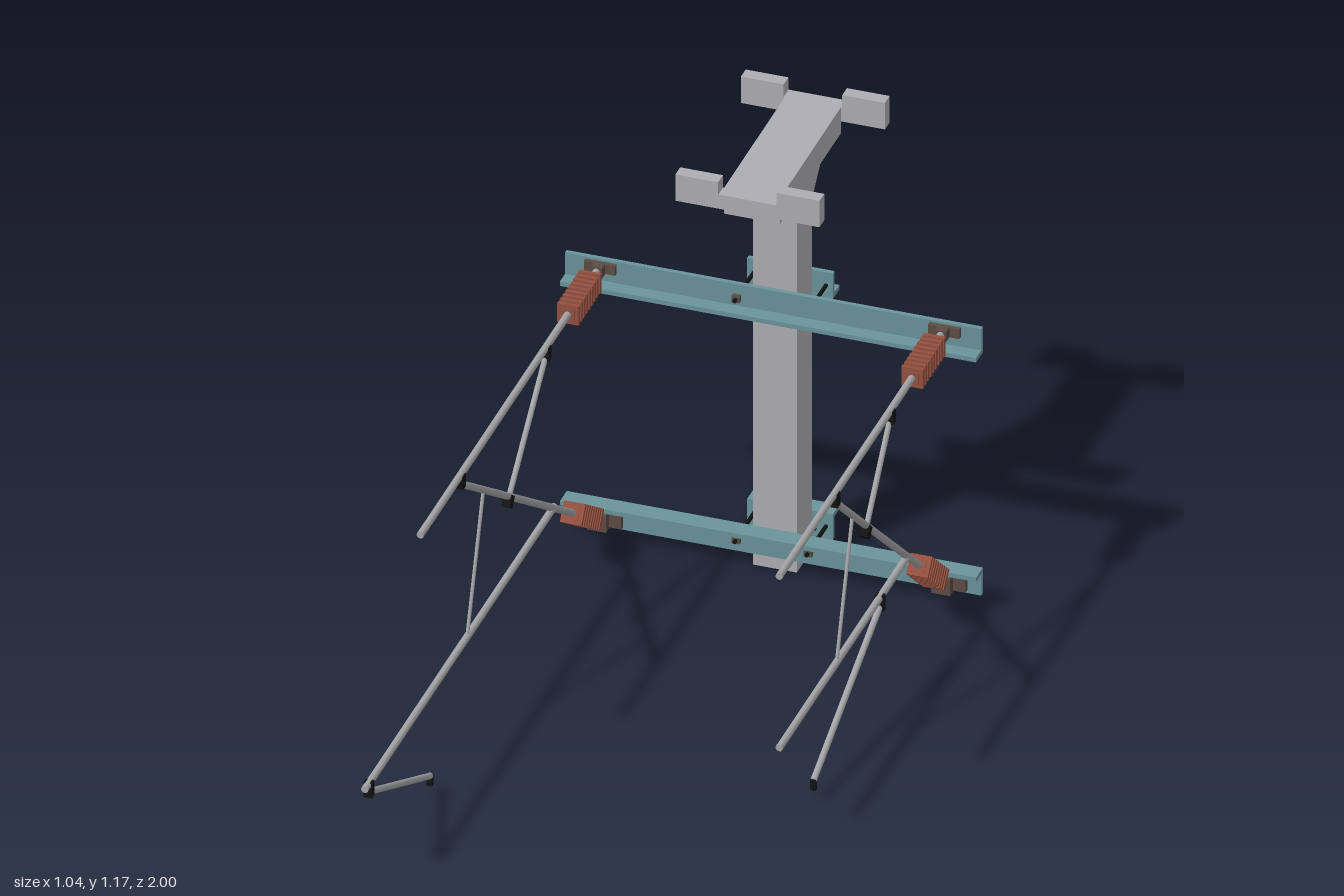
import * as THREE from 'three';

export function createModel() {
  const mat = (name, color) => {
    const m = new THREE.MeshStandardMaterial({ color });
    m.name = name;
    return m;
  };
  const concrete = mat('concreteGrey', 0xaeaeb2);
  const steel = mat('steelGrey', 0xa4a4a6);
  const teal = mat('tealPaint', 0x6a949c);
  const ceramic = mat('redBrownCeramic', 0x94503f);
  const bracketBrown = mat('darkBrown', 0x5c4c44);
  const black = mat('black', 0x121212);

  const model = new THREE.Group();
  model.name = 'cantileverMast';

  const add = (parent, name, geometry, material) => {
    const m = new THREE.Mesh(geometry, material);
    m.name = name;
    parent.add(m);
    return m;
  };
  // Box given by its min/max on each axis
  const box = (parent, name, material, x0, x1, y0, y1, z0, z1) => {
    const m = add(parent, name, new THREE.BoxGeometry(x1 - x0, y1 - y0, z1 - z0), material);
    m.position.set((x0 + x1) / 2, (y0 + y1) / 2, (z0 + z1) / 2);
    return m;
  };
  // Group at a whose local +z runs toward b; points are [z, y] in the plane at x
  const aim = (x, a, b) => {
    const g = new THREE.Group();
    g.position.set(x, a[1], a[0]);
    g.lookAt(x, b[1], b[0]);
    model.add(g);
    return g;
  };
  const tube = (name, x, a, b, r, material = steel) => {
    const len = Math.hypot(b[0] - a[0], b[1] - a[1]);
    const g = aim(x, a, b);
    g.name = name;
    const geo = new THREE.CylinderGeometry(r, r, len, 12).rotateX(Math.PI / 2).translate(0, 0, len / 2);
    add(g, name + 'Pipe', geo, material);
  };
  const lerp = (a, b, t) => [a[0] + (b[0] - a[0]) * t, a[1] + (b[1] - a[1]) * t];
  const along = (a, b, d) => lerp(a, b, d / Math.hypot(b[0] - a[0], b[1] - a[1]));

  // Mast and its head beam
  box(model, 'mast', concrete, -0.055, 0.055, 0, 1.07, -0.803, -0.695);
  box(model, 'headBeam', concrete, -0.07, 0.07, 1.062, 1.134, -0.966, -0.534);

  // U-shaped end plates
  const u = new THREE.Shape([
    [-0.18, 1.095], [0.18, 1.095], [0.18, 1.168], [0.073, 1.168],
    [0.073, 1.134], [-0.073, 1.134], [-0.073, 1.168], [-0.18, 1.168],
  ].map(([x, y]) => new THREE.Vector2(x, y)));
  for (const z of [-1, -0.534]) {
    add(model, 'headEndPlate', new THREE.ExtrudeGeometry(u, { depth: 0.034, bevelEnabled: false }), concrete).position.z = z;
  }

  // Triangular gussets, two in front and two behind the mast
  const tri = new THREE.Shape([
    new THREE.Vector2(0, 0.968), new THREE.Vector2(0.092, 1.064), new THREE.Vector2(0, 1.064),
  ]);
  for (const side of [1, -1]) {
    for (const x of [-0.0365, 0.0365]) {
      const g = new THREE.ExtrudeGeometry(tri, { depth: 0.035, bevelEnabled: false });
      g.translate(0, 0, -0.0175).rotateY(-side * Math.PI / 2);
      add(model, 'headGusset', g, concrete).position.set(x, 0, side > 0 ? -0.695 : -0.803);
    }
  }

  // Angle-section crossarms in front, short clamps behind, joined by bolts
  const levels = [
    { name: 'upper', y0: 0.705, y1: 0.776, f0: 0.705, bolt: 0.74 },
    { name: 'lower', y0: 0.038, y1: 0.109, f0: 0.097, bolt: 0.073 },
  ];
  for (const { name, y0, y1, f0, bolt } of levels) {
    box(model, name + 'Crossarm', teal, -0.52, 0.52, y0, y1, -0.695, -0.683);
    box(model, name + 'CrossarmFlange', teal, -0.52, 0.52, f0, f0 + 0.012, -0.683, -0.646);
    box(model, name + 'RearClamp', teal, -0.107, 0.107, y0, y1, -0.815, -0.803);
    box(model, name + 'RearClampFlange', teal, -0.107, 0.107, f0, f0 + 0.012, -0.85, -0.815);
    for (const x of [-0.09, 0.09]) {
      const short = name === 'upper' && x > 0;
      tube(name + 'ClampBolt', x, [-0.835, bolt], [short ? -0.69 : -0.662, bolt], 0.005, black);
      box(model, name + 'RearNut', bracketBrown, x - 0.01, x + 0.01, bolt - 0.009, bolt + 0.009, -0.826, -0.814);
      if (!short) {
        box(model, name + 'FrontNut', bracketBrown, x - 0.01, x + 0.01, bolt - 0.009, bolt + 0.009, -0.684, -0.671);
      }
    }
  }

  // Ribbed insulator from a toward b, starting d along the line
  const insulator = (name, x, a, b, d) => {
    const g = aim(x, along(a, b, d), b);
    g.name = name;
    box(g, 'insulatorCore', ceramic, -0.016, 0.016, -0.016, 0.016, 0, 0.165);
    for (let i = 0; i < 9; i++) {
      const z = 0.002 + i * 0.0188;
      box(g, 'insulatorRib', ceramic, -0.027, 0.027, -0.026, 0.026, z, z + 0.0105);
    }
  };
  // Black clamp centred on p, turned to face q
  const clamp = (name, x, p, q, w = 0.022, h = 0.036, d = 0.02) => {
    const g = aim(x, p, q);
    g.name = name;
    box(g, 'clampBody', black, -w / 2, w / 2, -h / 2, h / 2, -d / 2, d / 2);
  };

  // One cantilever frame; points are [z, y]
  const topY = 0.76, lowY = 0.285, foot = [-0.665, 0.065];
  const frame = (side, x, s) => {
    const head = [s.headZ, 0.737];
    const wall = [-0.68, topY];

    // Mounting brackets
    box(model, side + 'UpperBracket', bracketBrown, x - 0.039, x + 0.039, 0.744, 0.77, -0.684, -0.672);
    box(model, side + 'UpperLug', bracketBrown, x - 0.014, x + 0.014, 0.744, 0.772, -0.672, -0.65);
    box(model, side + 'LowerBracket', bracketBrown, x - 0.055, x + 0.055, 0.046, 0.084, -0.684, -0.67);
    box(model, side + 'LowerLug', bracketBrown, x - 0.024, x + 0.024, 0.042, 0.088, -0.67, -0.65);

    // Top tube, diagonal and steady tube
    tube(side + 'TopTube', x, wall, [s.topEnd, topY], 0.009);
    insulator(side + 'TopInsulator', x, wall, [0, topY], 0.07);
    tube(side + 'DiagonalTube', x, foot, head, 0.009);
    insulator(side + 'DiagonalInsulator', x, foot, head, 0.06);
    tube(side + 'SteadyTube', x, [s.steadyStart, lowY], [s.steadyEnd, lowY], 0.009);

    // Brace and hanger
    tube(side + 'Brace', x, [-0.29, 0.737], s.brace, 0.007);
    tube(side + 'Hanger', x, s.hanger[0], s.hanger[1], 0.0045);

    // Registration arm with its wire foot
    const armTop = [s.armZ, 0.262];
    tube(side + 'RegistrationArm', x, armTop, s.armEnd, 0.008);
    const [ez, ey] = s.armEnd;
    box(model, side + 'WireFoot', black, x - 0.007, x + 0.007, ey - 0.025, ey + 0.004, ez - 0.005, ez + 0.005);

    // Clamps
    clamp(side + 'BraceTopClamp', x, [-0.29, 0.745], [0, 0.745]);
    clamp(side + 'HeadClamp', x, [s.headZ, 0.745], [s.headZ + 1, 0.745]);
    clamp(side + 'BraceClamp', x, s.brace, head, 0.022, 0.03, 0.024);
    clamp(side + 'ArmClamp', x, [s.armZ, 0.271], [s.armZ + 1, 0.271], 0.022, 0.042, 0.016);
    box(model, side + 'TopClip', black, x - 0.004, x + 0.004, 0.744, 0.754, s.clipZ - 0.004, s.clipZ + 0.004);
  };

  frame('right', -0.43, {
    headZ: 0.32, topEnd: 0.605, steadyStart: -0.35, steadyEnd: 1, brace: [-0.02, 0.492],
    hanger: [[0.27, lowY], [0.155, 0.622]], armZ: 0.97, armEnd: [0.535, 0.053], clipZ: 0.535,
  });
  frame('left', 0.43, {
    headZ: 0.105, topEnd: 0.5, steadyStart: -0.41, steadyEnd: 0.5, brace: [-0.115, 0.528],
    hanger: [[0.09, lowY], [-0.02, 0.618]], armZ: -0.22, armEnd: [0.255, 0.053], clipZ: 0.25,
  });

  return model;
}
